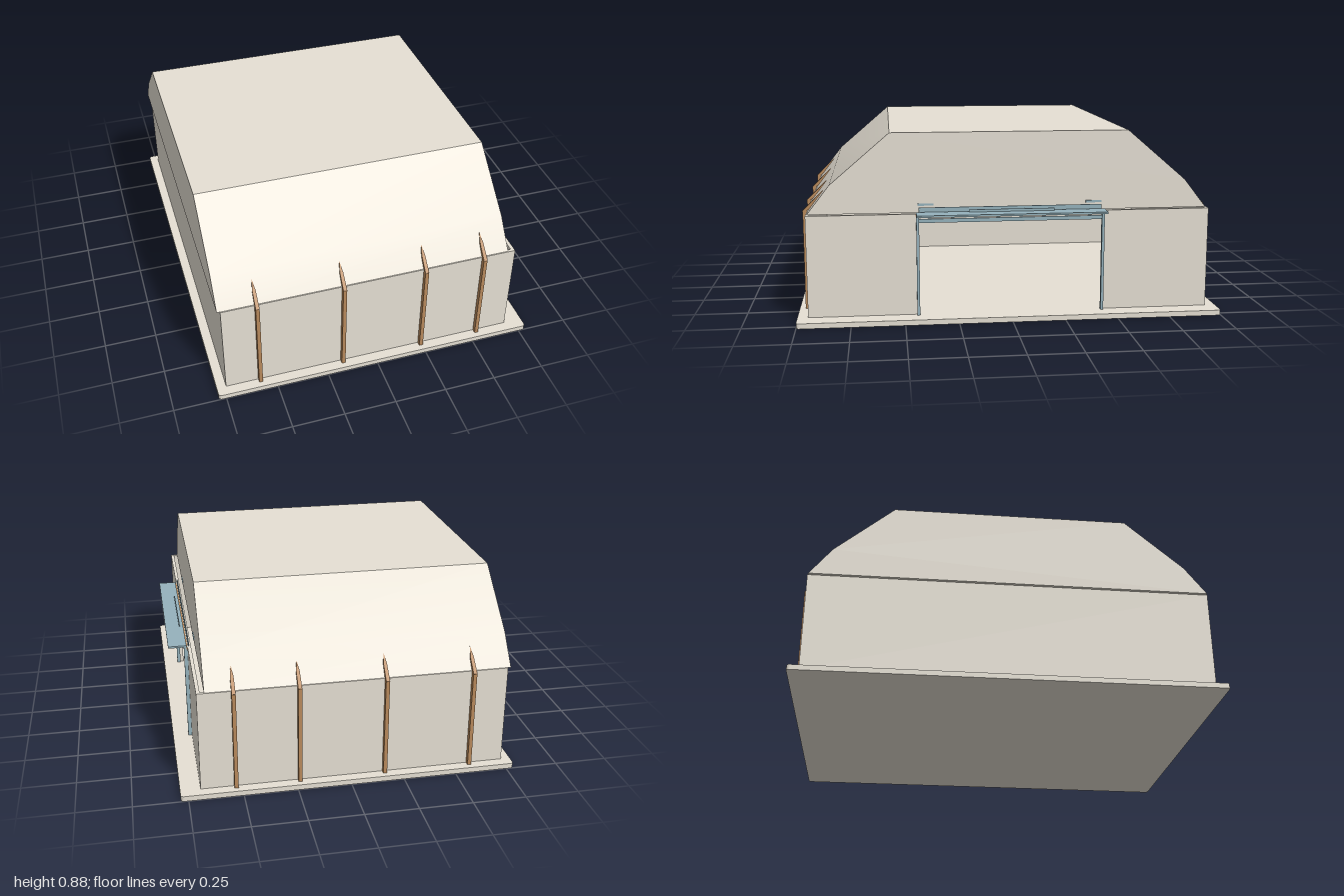
import * as THREE from 'three';
import { toCreasedNormals } from 'three/addons/utils/BufferGeometryUtils.js';

const material = (name, color) => {
  const m = new THREE.MeshStandardMaterial({ color });
  m.name = name;
  return m;
};

export function createModel() {
  const stone = material('pale stone', 0xe6e0d4);
  const wood = material('light brown wood', 0xb98a5c);
  const blue = material('blue grey metal', 0x95b2bc);

  const model = new THREE.Group();
  model.name = 'building';

  const add = (name, geometry, mat, parent = model) => {
    const mesh = new THREE.Mesh(geometry, mat);
    mesh.name = name;
    parent.add(mesh);
    return mesh;
  };
  // Box given by its limits on each axis
  const box = (name, mat, [x0, x1], [y0, y1], [z0, z1], parent) => {
    const g = new THREE.BoxGeometry(x1 - x0, y1 - y0, z1 - z0);
    g.translate((x0 + x1) / 2, (y0 + y1) / 2, (z0 + z1) / 2);
    return add(name, g, mat, parent);
  };
  // Range along z, mirrored to the side s
  const span = (s, a, b) => (s > 0 ? [a, b] : [-b, -a]);

  // Base slab with slightly rounded corners
  const w = 0.785, d = 1, r = 0.015;
  const slab = new THREE.Shape();
  slab.absarc(w - r, d - r, r, 0, Math.PI / 2);
  slab.absarc(-w + r, d - r, r, Math.PI / 2, Math.PI);
  slab.absarc(-w + r, -d + r, r, Math.PI, Math.PI * 1.5);
  slab.absarc(w - r, -d + r, r, Math.PI * 1.5, Math.PI * 2);
  const slabGeo = new THREE.ExtrudeGeometry(slab, { depth: 0.025, bevelEnabled: false, curveSegments: 4 });
  slabGeo.rotateX(-Math.PI / 2);
  add('baseSlab', slabGeo, stone);

  // Hollow walls
  const wallY = [0.025, 0.505], t = 0.015;
  box('backWall', stone, [-0.74, -0.74 + t], wallY, [-0.95, 0.95]);
  for (const s of [1, -1]) {
    box('sideWall', stone, [-0.74 + t, 0.675], wallY, span(s, 0.95 - t, 0.95));
    box('doorWall', stone, [0.675, 0.692], wallY, span(s, 0.44, 0.95));
  }
  box('doorHeader', stone, [0.675, 0.692], [0.475, 0.505], [-0.44, 0.44]);

  // Faceted roof, extruded along x
  const half = [[0.945, 0.505], [0.84, 0.64], [0.56, 0.88]];
  const profile = [...half, ...half.map(([z, y]) => [-z, y]).reverse()];
  const roofShape = new THREE.Shape(profile.map(([z, y]) => new THREE.Vector2(z, y)));
  const roofGeo = new THREE.ExtrudeGeometry(roofShape, { depth: 1.412, bevelEnabled: false });
  roofGeo.rotateY(-Math.PI / 2);
  roofGeo.translate(0.657, 0, 0);
  add('roof', toCreasedNormals(roofGeo, 0.4), stone);

  // Rib tip: a pointed blade that also thins towards its point
  const tipLength = 0.138, tipDepth = 0.018;
  const tip = new THREE.Shape();
  tip.moveTo(-0.009, 0);
  tip.lineTo(0.009, 0);
  tip.lineTo(0.008, 0.085);
  tip.lineTo(0, tipLength);
  tip.lineTo(-0.008, 0.085);
  const tipGeo = new THREE.ExtrudeGeometry(tip, { depth: tipDepth, bevelEnabled: false });
  const p = tipGeo.attributes.position;
  for (let i = 0; i < p.count; i++) {
    const thinning = 1 - 0.6 * p.getY(i) / tipLength;
    p.setZ(i, p.getZ(i) * thinning - tipDepth);
  }
  tipGeo.computeVertexNormals();
  tipGeo.rotateX(-0.71);

  // Wooden ribs whose tips lean onto the roof
  for (const x of [-0.575, -0.165, 0.235, 0.53]) {
    for (const s of [1, -1]) {
      const rib = new THREE.Group();
      rib.name = 'rib';
      model.add(rib);
      box('ribPost', wood, [x - 0.009, x + 0.009], [0.025, 0.502], span(s, 0.95, 0.972), rib);
      const blade = add('ribTip', tipGeo, wood, rib);
      blade.position.set(x, 0.5, s * 0.974);
      if (s < 0) blade.rotation.y = Math.PI;
    }
  }

  // Door frame
  for (const s of [1, -1]) {
    box('doorPost', blue, [0.692, 0.71], [0.025, 0.505], span(s, 0.43, 0.443));
    box('roofBracket', blue, [0.655, 0.662], [0.538, 0.548], span(s, 0.36, 0.435));
  }
  box('doorLintel', blue, [0.68, 0.7], [0.464, 0.482], [-0.43, 0.43]);
  box('lintelTrim', wood, [0.69, 0.697], [0.494, 0.505], [-0.445, 0.445]);

  // Canopy over the door
  box('canopy', blue, [0.697, 0.785], [0.505, 0.514], [-0.443, 0.443]);
  box('canopyRail', blue, [0.684, 0.689], [0.505, 0.534], [-0.43, 0.43]);
  box('canopyStrip', blue, [0.713, 0.717], [0.514, 0.526], [-0.2, 0.2]);

  return model;
}
